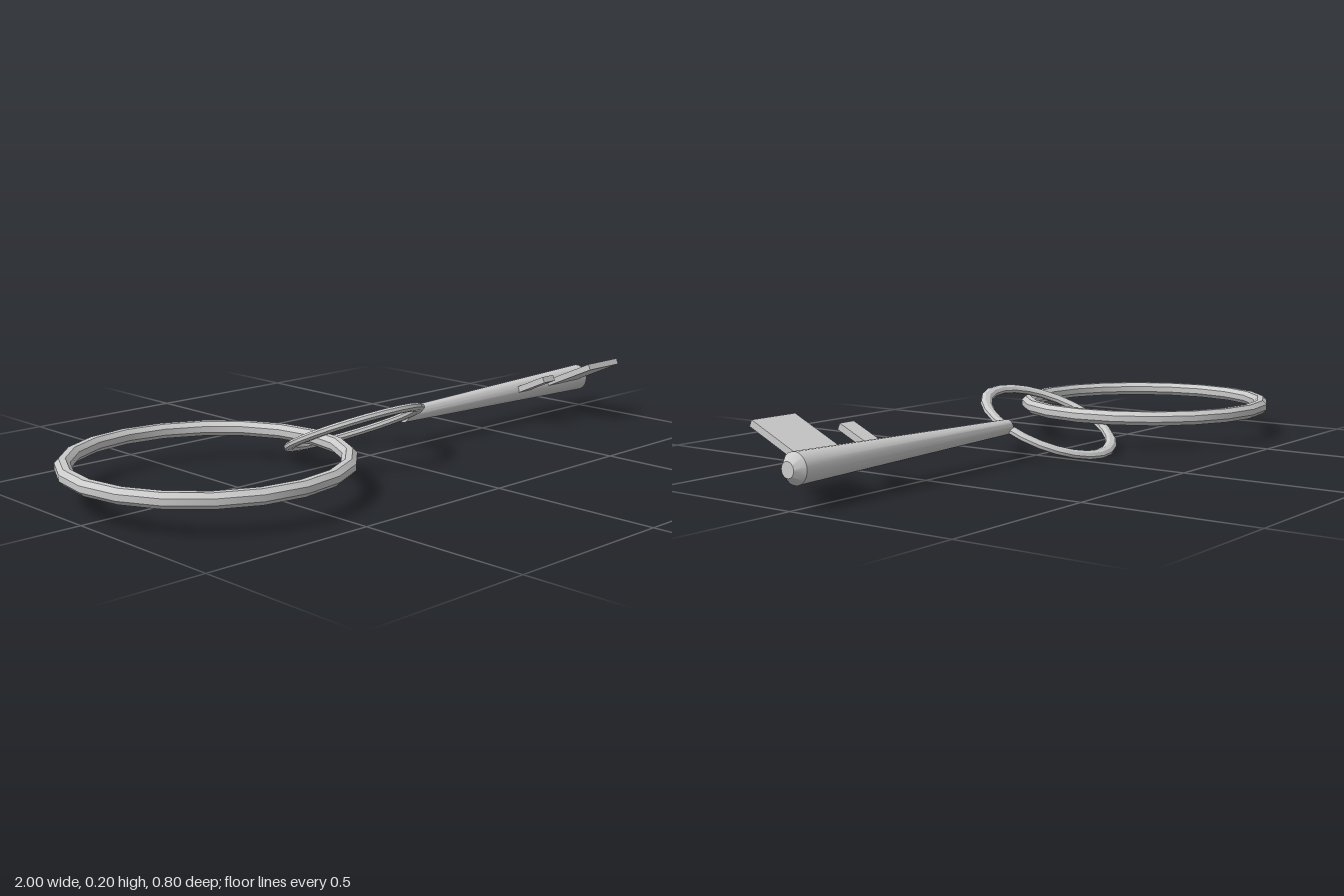
import * as THREE from 'three';
import { toCreasedNormals } from 'three/addons/utils/BufferGeometryUtils.js';

const material = new THREE.MeshStandardMaterial({ color: 0xcccccc });

function addMesh(parent, name, geometry) {
  const mesh = new THREE.Mesh(geometry, material);
  mesh.name = name;
  parent.add(mesh);
  return mesh;
}

// Ring lying flat, with an eight-sided cross-section of half sizes w (radial) and h (vertical)
function ringGeometry(radius, w, h, segments) {
  const k = 1 / Math.cos(Math.PI / 8);
  const profile = [];
  for (let i = 0; i <= 8; i++) {
    const a = ((i % 8) + 0.5) * Math.PI / 4;
    profile.push(new THREE.Vector2(radius + w * k * Math.cos(a), h * k * Math.sin(a)));
  }
  return toCreasedNormals(new THREE.LatheGeometry(profile, segments), 0.5);
}

export function createModel() {
  const model = new THREE.Group();
  model.name = 'keyOnRing';

  // Large carrying ring
  addMesh(model, 'carryingRing', ringGeometry(0.379, 0.021, 0.021, 20)).position.set(-0.6, 0.098, 0);

  // Key, tilted about its own length
  const key = new THREE.Group();
  key.name = 'key';
  key.position.set(0, 0.099, -0.001);
  key.rotation.x = -0.427;
  model.add(key);

  // Handle loop
  addMesh(key, 'handleLoop', ringGeometry(0.197, 0.0165, 0.011, 24)).position.x = -0.063;

  // Tapered shaft with a chamfered tip
  const profile = [[0, 0.135], [0.022, 0.135], [0.042, 0.976], [0.021, 1], [0, 1]]
    .map(([r, x]) => new THREE.Vector2(r, x));
  const shaft = new THREE.LatheGeometry(profile, 20).rotateZ(-Math.PI / 2);
  addMesh(key, 'shaft', toCreasedNormals(shaft, 0.5)).position.set(0, 0.003, 0.007);

  // Two flat teeth: start x, end x, reach
  for (const [name, x0, x1, reach] of [['smallTooth', 0.634, 0.687, 0.15], ['largeTooth', 0.779, 0.929, 0.225]]) {
    addMesh(key, name, new THREE.BoxGeometry(x1 - x0, 0.019, reach)).position.set((x0 + x1) / 2, 0, reach / 2);
  }

  return model;
}
